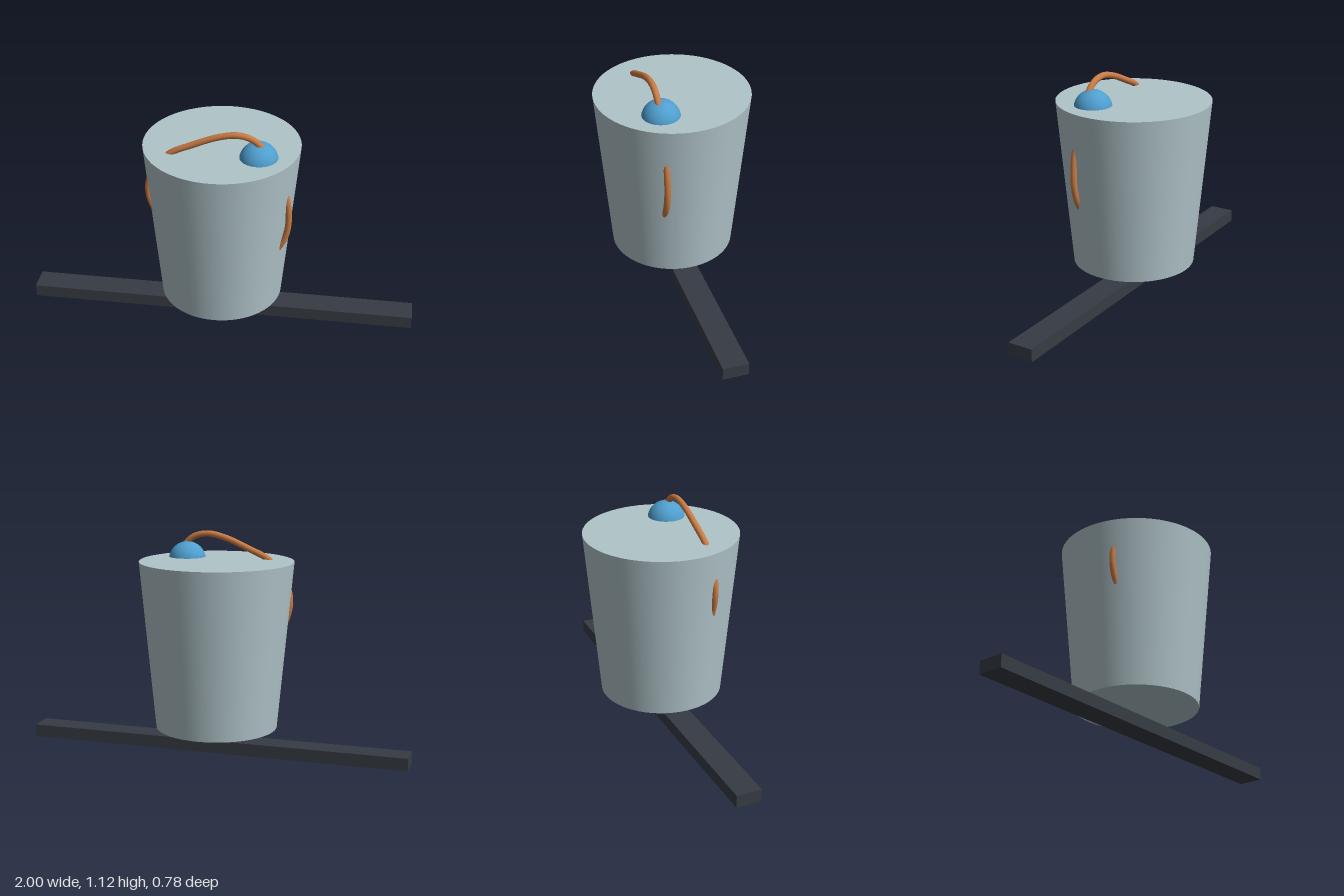
import * as THREE from 'three';

const paint = (name, color) => {
  const m = new THREE.MeshStandardMaterial({ color });
  m.name = name;
  return m;
};

export function createModel() {
  const model = new THREE.Group();
  const grey = paint('pale blue grey', 0xb0c4c9);
  const dark = paint('charcoal', 0x363c44);
  const copper = paint('copper', 0xc97b45);
  const blue = paint('blue', 0x4f9fd0);

  const add = (name, geometry, material, x, y, z) => {
    const mesh = new THREE.Mesh(geometry, material);
    mesh.name = name;
    mesh.position.set(x, y, z);
    model.add(mesh);
    return mesh;
  };

  // Long flat bar on the ground
  add('baseBar', new THREE.BoxGeometry(2, 0.065, 0.13), dark, 0, 0.0325, 0);

  // Closed tapered bucket floating just above the bar
  add('bucket', new THREE.CylinderGeometry(0.39, 0.31, 0.855, 64), grey, 0, 0.5575, 0);

  // Ball half sunk into the lid
  add('ball', new THREE.SphereGeometry(0.096, 40, 24), blue, 0.195, 0.967, 0.115);

  // Bent rod that weaves in and out of the bucket walls and lid
  const path = [
    [-0.29, 0.58], [-0.32, 0.655], [-0.347, 0.75], [-0.337, 0.84],
    [-0.245, 0.975], [-0.125, 1.037], [0.0, 1.088], [0.09, 1.105], [0.16, 1.09], [0.208, 1.05],
    [0.27, 0.93], [0.335, 0.78], [0.35, 0.64], [0.335, 0.55], [0.303, 0.485], [0.27, 0.44],
  ].map(([x, y]) => new THREE.Vector3(x, y, 0));
  const curve = new THREE.CatmullRomCurve3(path);
  add('bentRod', new THREE.TubeGeometry(curve, 120, 0.016, 14), copper, 0, 0, 0.131);

  return model;
}
